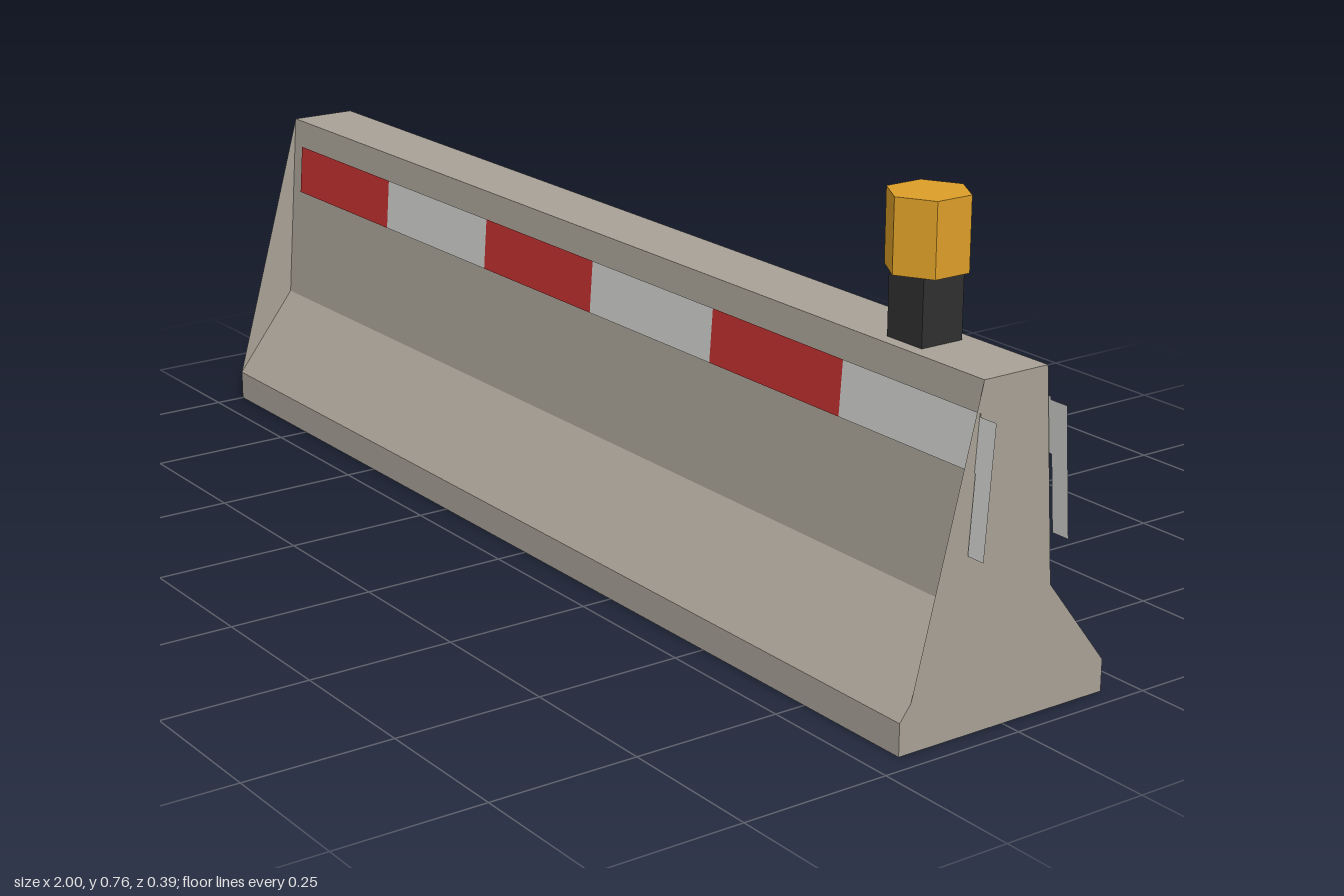
import * as THREE from 'three';

const mat = (name, color, side = THREE.FrontSide) => {
  const m = new THREE.MeshStandardMaterial({ color, side });
  m.name = name;
  return m;
};

// Flat-faced geometry from triangles of [x, y, z] corners
function fromTriangles(tris) {
  const g = new THREE.BufferGeometry();
  g.setAttribute('position', new THREE.Float32BufferAttribute(tris.flat(2), 3));
  g.computeVertexNormals();
  return g;
}
const quad = (a, b, c, d) => [[a, b, c], [a, c, d]];

export function createModel() {
  const group = new THREE.Group();
  const concrete = mat('concrete', 0xa8a196, THREE.DoubleSide);
  const red = mat('red', 0xc03030, THREE.DoubleSide);
  const white = mat('white', 0xcfd0cd, THREE.DoubleSide);
  const amber = mat('amber', 0xdc9e28);
  const black = mat('black', 0x303030);

  const add = (name, geometry, material) => {
    const mesh = new THREE.Mesh(geometry, material);
    mesh.name = name;
    group.add(mesh);
    return mesh;
  };

  // Barrier cross-section as [z, y], front foot first
  const profile = [
    [0.197, 0], [0.197, 0.052], [0.084, 0.198], [0.06, 0.538],
    [-0.06, 0.538], [-0.084, 0.198], [-0.197, 0.052], [-0.197, 0],
  ];
  const n = profile.length, x0 = -1, x1 = 0.965;
  const at = (x, i) => [x, profile[i % n][1], profile[i % n][0]];

  // Long faces of the barrier
  const walls = [];
  for (let i = 0; i < n; i++) {
    walls.push(...quad(at(x0, i), at(x1, i), at(x1, i + 1), at(x0, i + 1)));
  }
  add('barrierBody', fromTriangles(walls), concrete);

  // End plates fan out from a front corner, bridging the front hollow;
  // every triangle is wound to face outwards
  const endPlate = (x, start, outward) => {
    const tris = [];
    for (let k = 1; k < n - 1; k++) {
      const [a, b, c] = [at(x, start), at(x, start + k), at(x, start + k + 1)];
      const nx = (b[1] - a[1]) * (c[2] - a[2]) - (b[2] - a[2]) * (c[1] - a[1]);
      tris.push(nx * outward > 0 ? [a, b, c] : [a, c, b]);
    }
    return fromTriangles(tris);
  };
  add('rightwardEnd', endPlate(x0, 1, -1), concrete);
  add('leftwardEnd', endPlate(x1, 0, 1), concrete);

  // Thin strips lying just off the steep sides
  const strip = (xa, xb, ya, yb, s) => {
    const z = (y) => s * (0.084 - (y - 0.198) * 0.0706 + 0.003);
    const p = [[xa, ya, z(ya)], [xb, ya, z(ya)], [xb, yb, z(yb)], [xa, yb, z(yb)]];
    return fromTriangles(s > 0 ? quad(...p) : quad(...p.reverse()));
  };
  const stops = [-0.967, -0.643, -0.312, 0.013, 0.344, 0.664, 0.967];
  for (const s of [1, -1]) {
    const side = s > 0 ? 'front' : 'back';
    for (let i = 0; i < 6; i++) {
      add(`${side}Stripe${i + 1}`, strip(stops[i], stops[i + 1], 0.402, 0.49, s), i % 2 ? white : red);
    }
    // Hanging end flap of the tape
    add(`${side}TapeFlap`, strip(0.967, 1, 0.28, 0.485, s), white);
  }

  // Warning lamp on a square post
  add('lampPost', new THREE.BoxGeometry(0.077, 0.11, 0.077), black).position.set(0.768, 0.592, 0);
  const lamp = new THREE.CylinderGeometry(0.065, 0.065, 0.116, 6).toNonIndexed();
  lamp.computeVertexNormals();
  add('lampHead', lamp, amber).position.set(0.768, 0.702, 0);

  return group;
}
